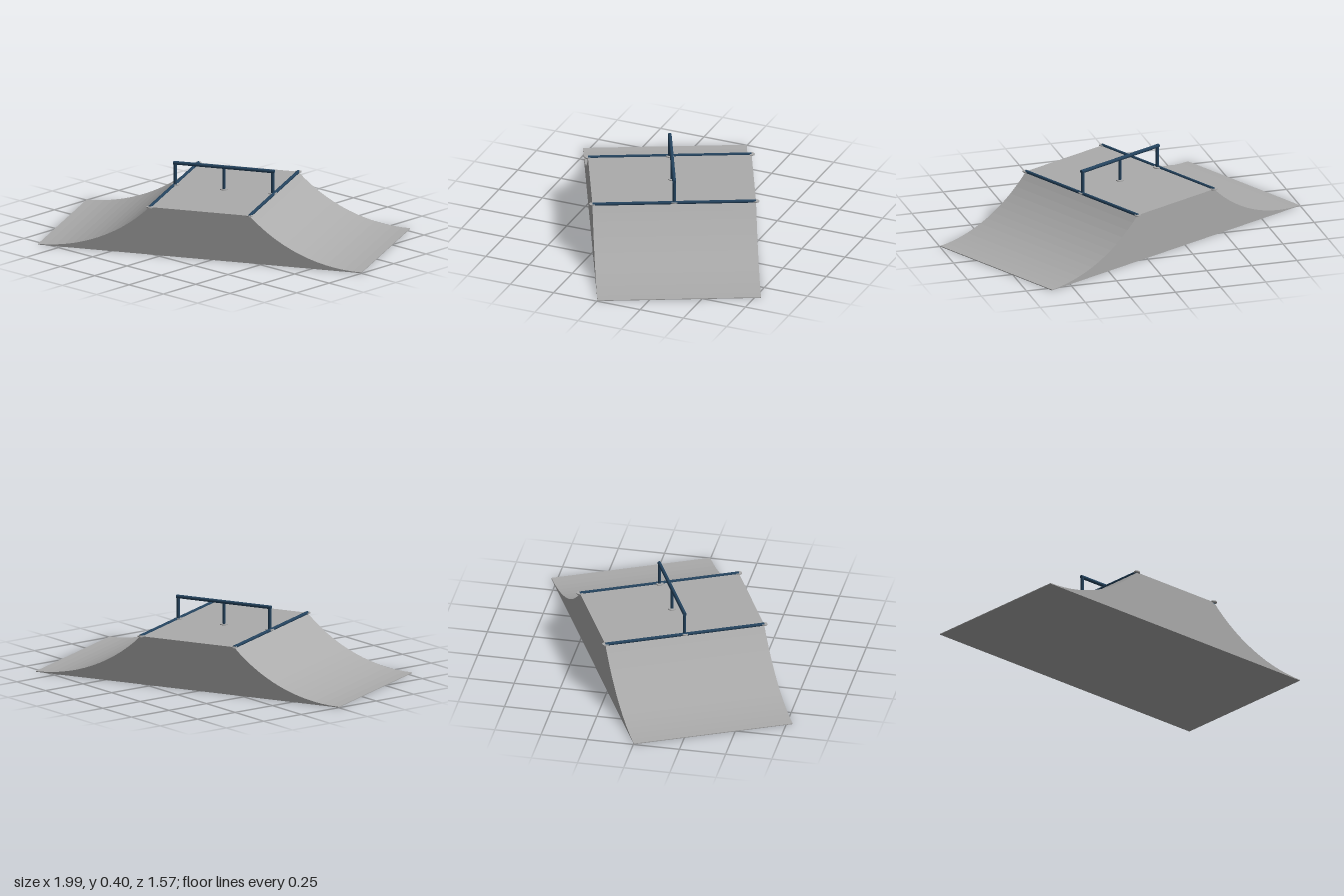
import * as THREE from 'three';

const HALF_LENGTH = 0.898, HALF_WIDTH = 0.434, DECK_HALF = 0.277, DECK_Y = 0.262, TOE_Y = 0.004;

export function createModel() {
  const model = new THREE.Group();
  model.name = 'skateRamp';
  const concrete = new THREE.MeshStandardMaterial({ color: 0xababab });
  concrete.name = 'concrete grey';
  const steel = new THREE.MeshStandardMaterial({ color: 0x24435e });
  steel.name = 'navy steel';

  // The ramp stands at an angle to the axes
  const ramp = new THREE.Group();
  ramp.name = 'ramp';
  ramp.rotation.y = 0.4525;
  model.add(ramp);

  const add = (name, geometry, material, x, y, z) => {
    const mesh = new THREE.Mesh(geometry, material);
    mesh.name = name;
    mesh.position.set(x, y, z);
    ramp.add(mesh);
    return mesh;
  };

  // Body: flat deck with a circular transition on each side
  const run = HALF_LENGTH - DECK_HALF, rise = DECK_Y - TOE_Y;
  const radius = (run * run + rise * rise) / (2 * rise);
  const sweep = Math.asin(run / radius), steps = 14;
  const arc = [];
  for (let i = 0; i <= steps; i++) {
    const a = (sweep * i) / steps;
    arc.push([HALF_LENGTH - radius * Math.sin(a), TOE_Y + radius * (1 - Math.cos(a))]);
  }
  const profile = new THREE.Shape();
  profile.moveTo(-HALF_LENGTH, 0);
  profile.lineTo(HALF_LENGTH, 0);
  arc.forEach(([x, y]) => profile.lineTo(x, y));
  [...arc].reverse().forEach(([x, y]) => profile.lineTo(-x, y));
  profile.closePath();
  const body = new THREE.ExtrudeGeometry(profile, { depth: 2 * HALF_WIDTH, bevelEnabled: false });
  add('rampBody', body, concrete, 0, 0, -HALF_WIDTH);

  // Coping pipes along the deck edges, with a small plate at each end
  for (const side of [-1, 1]) {
    const pipe = new THREE.CylinderGeometry(0.009, 0.009, 2 * HALF_WIDTH, 12);
    pipe.rotateX(Math.PI / 2);
    add('coping', pipe, steel, side * DECK_HALF, DECK_Y, 0);
    for (const end of [-1, 1]) {
      add('copingPlate', new THREE.CylinderGeometry(0.017, 0.017, 0.006, 16), concrete,
        side * DECK_HALF, DECK_Y, end * HALF_WIDTH);
    }
  }

  // Grind rail on three posts with round foot plates
  const railY = 0.385, railHalf = 0.28, r = 0.01;
  const rail = new THREE.CylinderGeometry(r, r, 2 * railHalf, 12);
  rail.rotateZ(Math.PI / 2);
  add('rail', rail, steel, 0, railY, 0);
  for (const x of [-0.271, 0, 0.271]) {
    const height = railY - DECK_Y;
    add('railPost', new THREE.CylinderGeometry(0.009, 0.009, height, 12), steel, x, DECK_Y + height / 2, 0);
    add('footPlate', new THREE.CylinderGeometry(0.022, 0.022, 0.006, 16), concrete, x, DECK_Y + 0.002, 0);
  }
  return model;
}
